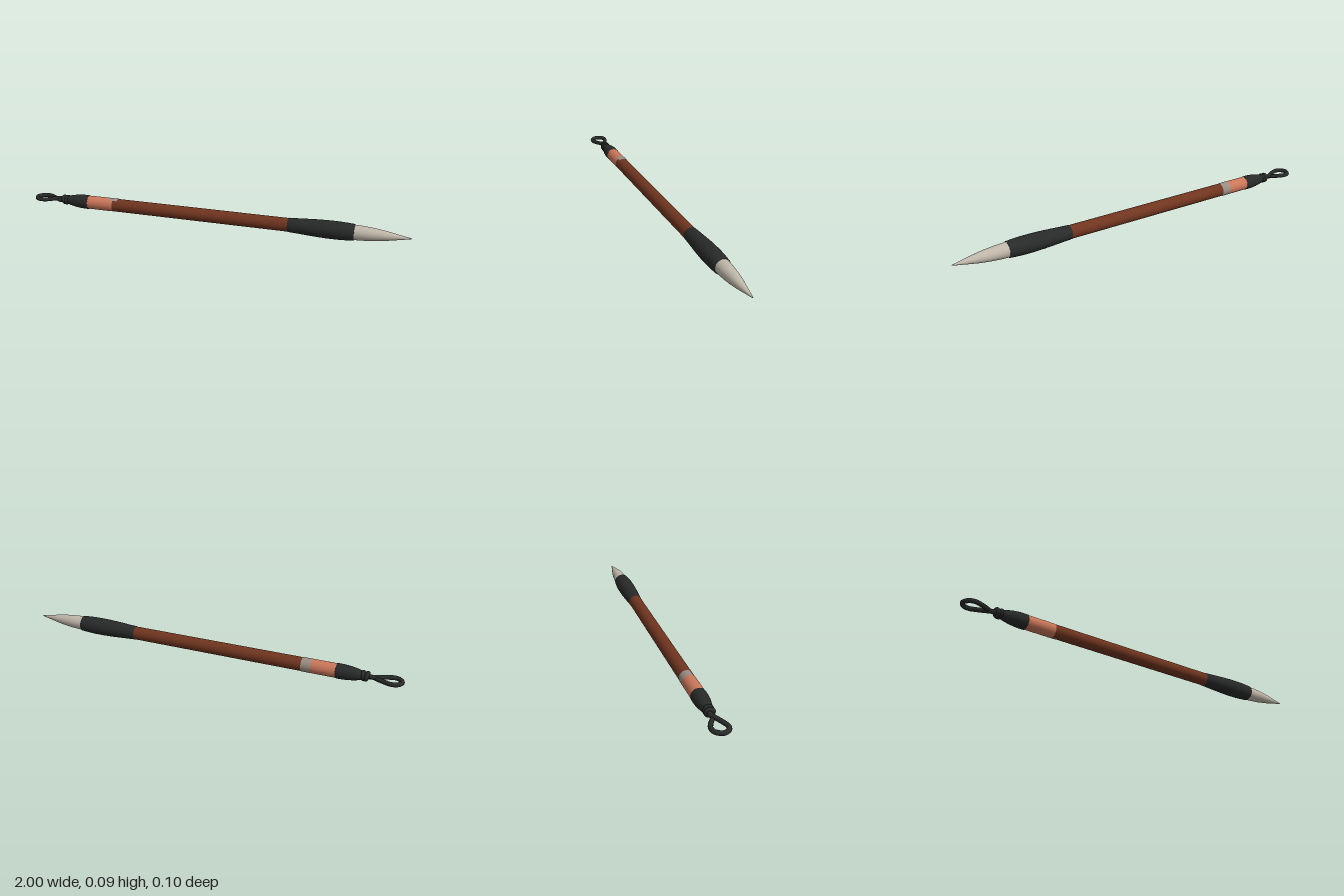
import * as THREE from 'three';

const AXIS_Y = 0.046;

function material(name, color, side = THREE.FrontSide) {
  const m = new THREE.MeshStandardMaterial({ color, side });
  m.name = name;
  return m;
}

export function createModel() {
  const group = new THREE.Group();
  group.name = 'calligraphyBrush';

  const black = material('black lacquer', 0x282929);
  const wood = material('brown wood', 0x70351f);
  const copper = material('copper label', 0xcc775a);
  const grey = material('grey label', 0x9c8d84);
  const hair = material('pale bristle', 0xc0b7a9);

  const add = (name, geometry, mat) => {
    const mesh = new THREE.Mesh(geometry, mat);
    mesh.name = name;
    mesh.position.y = AXIS_Y;
    group.add(mesh);
    return mesh;
  };

  // Turned part along x from [x, radius] pairs, ordered by rising x
  const turn = (name, profile, mat, start = 0, sweep = Math.PI * 2) => {
    const points = profile.map(([x, r]) => new THREE.Vector2(r, x));
    const geometry = new THREE.LatheGeometry(points, 40, start, sweep);
    geometry.rotateZ(-Math.PI / 2);
    return add(name, geometry, mat);
  };

  // Handle and its label bands
  turn('handle', [[-0.69, 0.034], [0.41, 0.034]], wood);
  turn('labelBand', [[-0.68, 0.0345], [-0.66, 0.0352], [-0.57, 0.0352], [-0.535, 0.0345]], copper);
  turn('labelEndPatch', [[-0.56, 0.0357], [-0.51, 0.0352]], grey, Math.PI / 2, Math.PI + 0.6);

  // Swelling ferrule that holds the bristles
  turn('ferrule', [
    [0.405, 0.033], [0.407, 0.0352], [0.45, 0.0375], [0.5, 0.0405], [0.55, 0.0432],
    [0.6, 0.0448], [0.65, 0.0448], [0.69, 0.0432], [0.73, 0.0405], [0.732, 0.036],
  ], black);

  // Pointed bristle tip
  turn('bristles', [
    [0.728, 0.037], [0.76, 0.0362], [0.8, 0.0335], [0.84, 0.0295], [0.88, 0.0238],
    [0.92, 0.0165], [0.96, 0.0088], [0.985, 0.0045], [0.997, 0.0018], [1, 0],
  ], hair);

  // Tapered end cap and the knot of the cord
  turn('endCap', [
    [-0.815, 0], [-0.813, 0.018], [-0.8, 0.023], [-0.78, 0.028], [-0.75, 0.0335],
    [-0.72, 0.0365], [-0.69, 0.037], [-0.68, 0.0365], [-0.678, 0.033],
  ], black);
  const knot = new THREE.TorusGeometry(0.015, 0.0115, 12, 28);
  knot.rotateY(Math.PI / 2);
  for (const [i, x] of [-0.825, -0.81].entries()) {
    const ring = add('cordKnot' + (i + 1), knot, black);
    ring.position.x = x;
    ring.rotation.z = i ? -0.2 : 0.25;
  }

  // Hanging loop lying flat, with its two strands crossing at the neck
  const path = [
    [-0.81, 0.006, 0.004], [-0.85, 0.004, -0.007], [-0.885, 0.002, 0.012], [-0.915, 0, 0.028],
    [-0.945, 0, 0.037], [-0.972, 0, 0.03], [-0.989, 0, 0], [-0.972, 0, -0.03],
    [-0.945, 0, -0.037], [-0.915, 0, -0.028], [-0.885, -0.002, -0.012],
    [-0.85, -0.004, 0.007], [-0.81, -0.006, -0.004],
  ].map((p) => new THREE.Vector3(...p));
  add('hangingLoop', new THREE.TubeGeometry(new THREE.CatmullRomCurve3(path), 110, 0.011, 12), black);

  return group;
}
